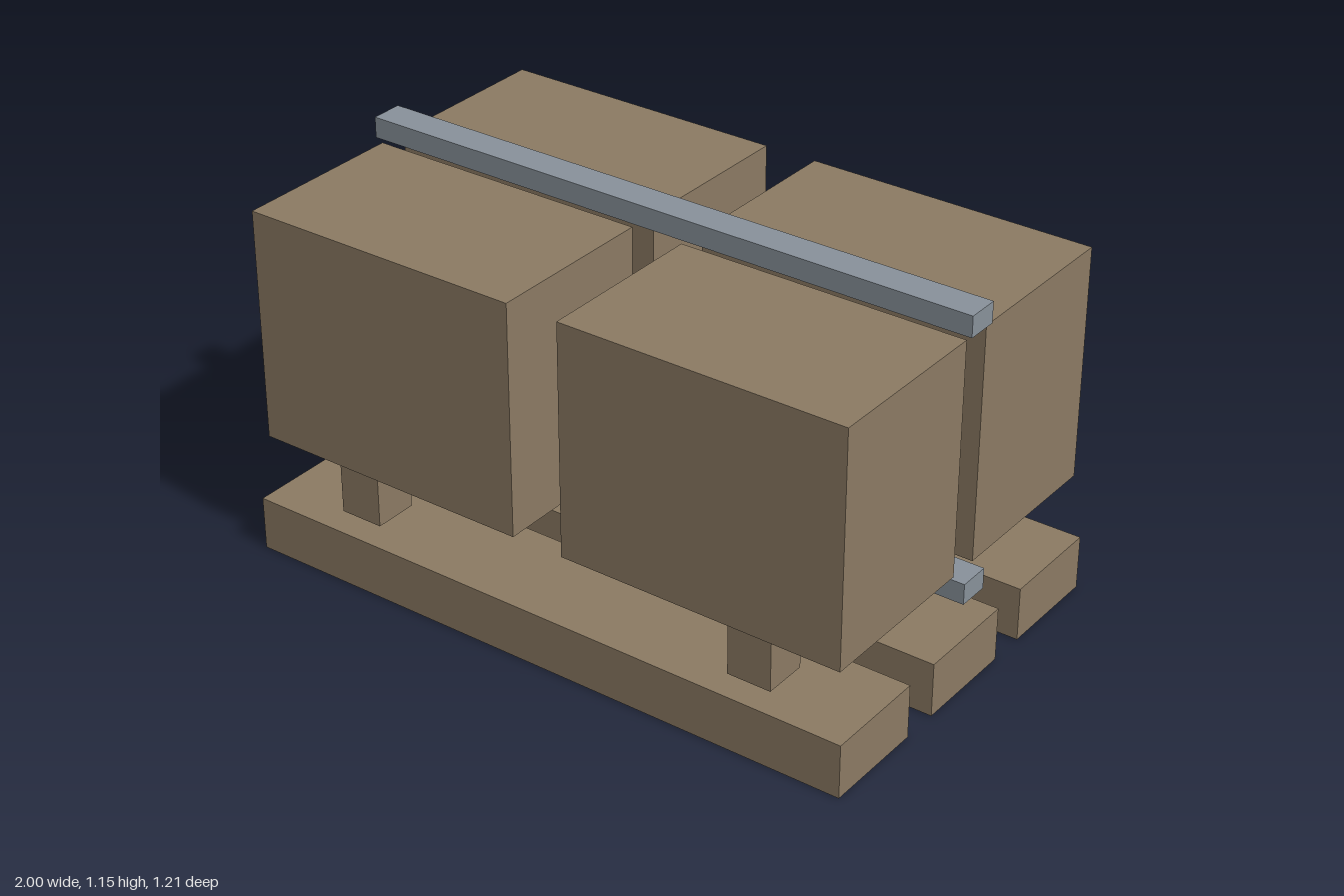
import * as THREE from 'three';

export function createModel() {
  const group = new THREE.Group();
  const wood = new THREE.MeshStandardMaterial({ color: 0x8b7a63 });
  wood.name = 'brown wood';
  const metal = new THREE.MeshStandardMaterial({ color: 0x88919a });
  metal.name = 'grey metal';

  // Box sized w, h, d with its underside at y
  const addBox = (name, material, [w, h, d], [x, y, z]) => {
    const mesh = new THREE.Mesh(new THREE.BoxGeometry(w, h, d), material);
    mesh.name = name;
    mesh.position.set(x, y + h / 2, z);
    group.add(mesh);
  };

  // Three base planks running along x
  for (const z of [-0.44, 0, 0.44]) {
    addBox('basePlank', wood, [1.975, 0.165, 0.325], [0, 0, z]);
  }

  // Four crates, each on a small support block
  for (const sx of [-1, 1]) {
    for (const sz of [-1, 1]) {
      addBox('crate', wood, [0.883, 0.708, 0.534], [sx * 0.523, 0.369, sz * 0.314]);
      addBox('supportBlock', wood, [0.136, 0.18, 0.136], [sx * 0.663, 0.189, sz * 0.476]);
    }
  }

  // Long bars above and below the gap between the crate rows
  addBox('upperBar', metal, [1.966, 0.063, 0.098], [-0.003, 1.088, 0]);
  addBox('lowerBar', metal, [2, 0.063, 0.098], [0, 0.297, 0]);

  return group;
}
